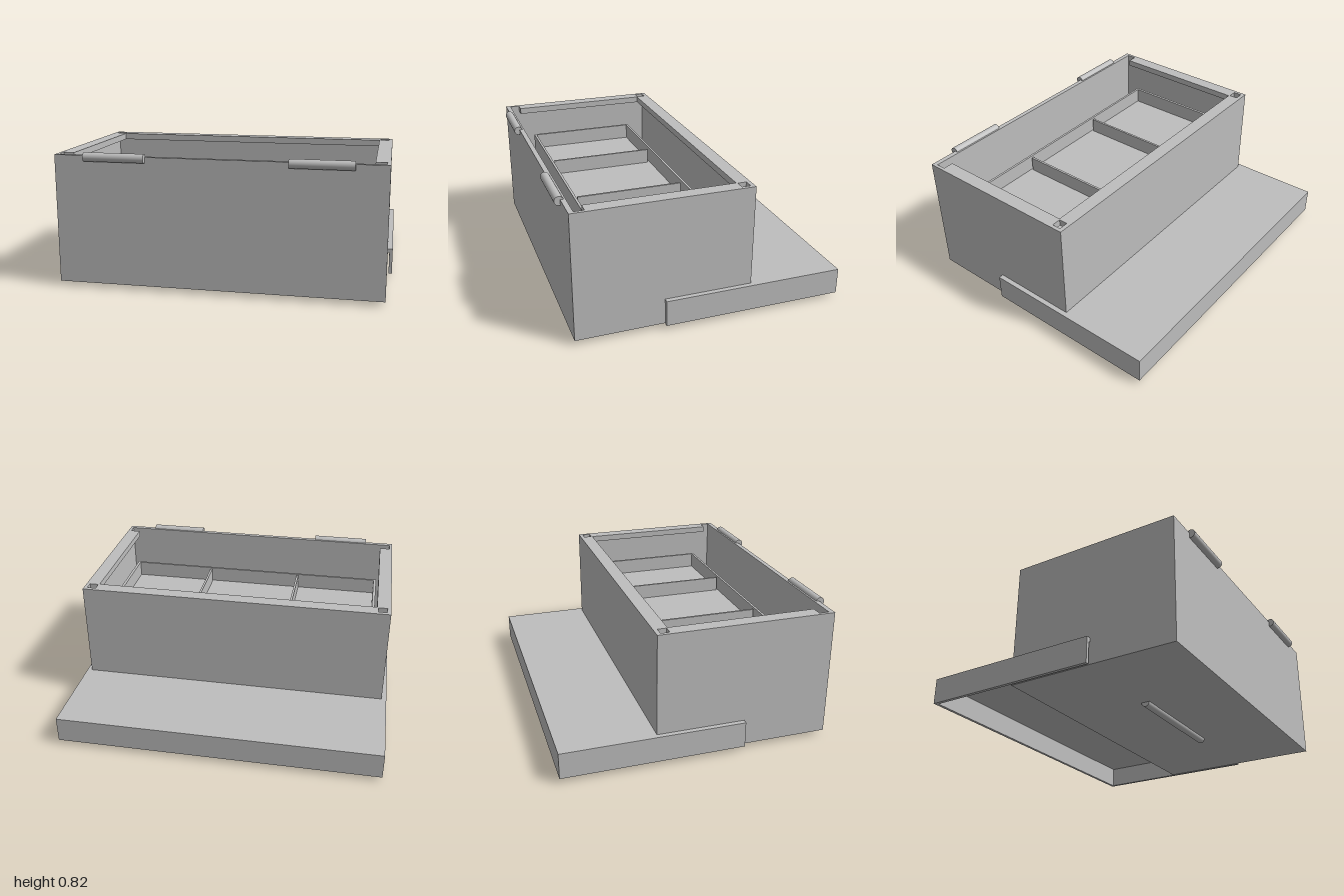
import * as THREE from 'three';

export function createModel() {
  const model = new THREE.Group();
  const grey = new THREE.MeshStandardMaterial({ color: 0xbebebe });
  grey.name = 'light grey';

  const add = (name, geometry) => {
    const mesh = new THREE.Mesh(geometry, grey);
    mesh.name = name;
    model.add(mesh);
    return mesh;
  };
  // Box given by its limits on each axis
  const block = (name, x0, x1, y0, y1, z0, z1) =>
    add(name, new THREE.BoxGeometry(x1 - x0, y1 - y0, z1 - z0)
      .translate((x0 + x1) / 2, (y0 + y1) / 2, (z0 + z1) / 2));
  const rect = (x0, x1, z0, z1) => [[x0, z0], [x1, z0], [x1, z1], [x0, z1]];
  const points = (list) => list.map(([x, z]) => new THREE.Vector2(x, z));
  // Plan outline with holes, raised from y0 to y1
  const ring = (name, outer, holes, y0, y1) => {
    const shape = new THREE.Shape(points(outer));
    holes.forEach((hole) => shape.holes.push(new THREE.Path(points(hole))));
    const geometry = new THREE.ExtrudeGeometry(shape, { depth: y1 - y0, bevelEnabled: false });
    return add(name, geometry.rotateX(Math.PI / 2).translate(0, y1, 0));
  };
  const rod = (name, x0, x1, y, z, radius) =>
    add(name, new THREE.CylinderGeometry(radius, radius, x1 - x0, 32)
      .rotateZ(Math.PI / 2).translate((x0 + x1) / 2, y, z));

  // Thin-walled box
  const outline = rect(-0.97, 0.97, -0.265, 0.8);
  block('boxFloor', -0.97, 0.97, 0.03, 0.06, -0.265, 0.8);
  ring('boxWalls', outline, [rect(-0.95, 0.95, -0.24, 0.77)], 0.06, 0.765);

  // Rim with the stepped opening and rear corner sockets
  const opening = [
    [-0.885, -0.18], [0.885, -0.18], [0.885, 0.71], [0.95, 0.71],
    [0.95, 0.77], [-0.95, 0.77], [-0.95, 0.71], [-0.885, 0.71],
  ];
  ring('boxRim', outline, [
    opening,
    rect(0.892, 0.948, -0.24, -0.187),
    rect(-0.948, -0.892, -0.24, -0.187),
  ], 0.765, 0.805);

  // Inner tray with three compartments
  block('trayFloor', -0.87, 0.87, 0.485, 0.5, -0.09, 0.615);
  ring('trayWalls', rect(-0.878, 0.878, -0.098, 0.623),
    [rect(-0.86, 0.86, -0.083, 0.608)], 0.485, 0.6);
  for (const x of [-0.317, 0.317]) {
    block('trayDivider', x - 0.007, x + 0.007, 0.5, 0.595, -0.068, 0.597);
  }

  // Shallow lid lying behind and around the lower box
  block('lidTop', -1, 1, 0.165, 0.19, -0.835, 0.27);
  block('lidBackWall', -1, 1, 0.03, 0.165, -0.835, -0.815);
  for (const side of [-1, 1]) {
    block('lidSideWall', Math.min(side, side * 0.98), Math.max(side, side * 0.98),
      0.03, 0.165, -0.815, 0.27);
  }

  // Hinge barrels on the front edge and the lid rod underneath
  rod('leftHingeBarrel', 0.418, 0.782, 0.798, 0.807, 0.027);
  rod('rightHingeBarrel', -0.782, -0.418, 0.798, 0.807, 0.027);
  rod('lidRod', -0.372, 0.372, 0.029, 0.27, 0.027);

  return model;
}
